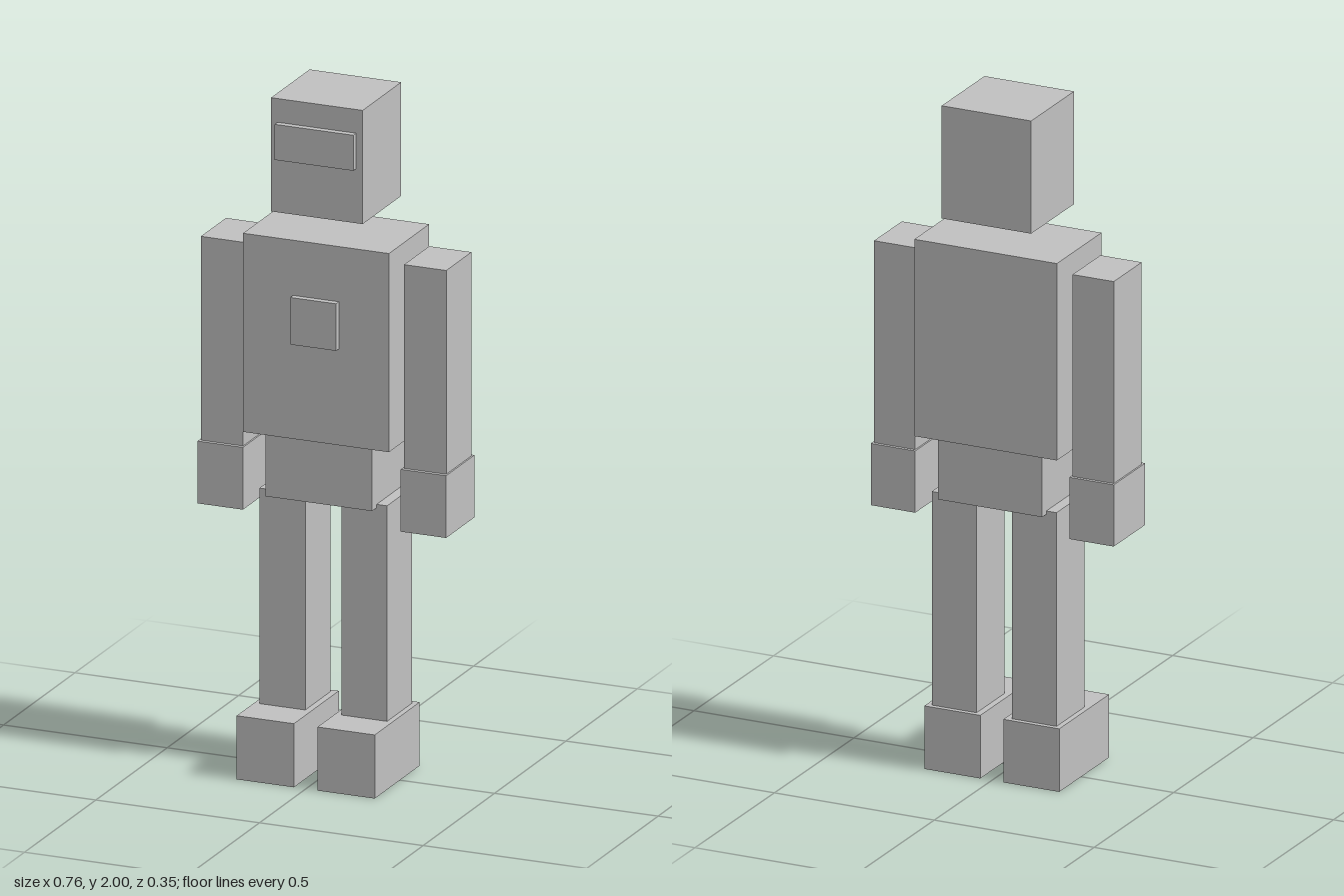
import * as THREE from 'three';

const grey = new THREE.MeshStandardMaterial({ color: 0xc0c0c0 });
grey.name = 'plain grey';

// Box given by its [min, max] extent on each axis
function block(name, [x0, x1], [y0, y1], [z0, z1]) {
  const mesh = new THREE.Mesh(new THREE.BoxGeometry(x1 - x0, y1 - y0, z1 - z0), grey);
  mesh.position.set((x0 + x1) / 2, (y0 + y1) / 2, (z0 + z1) / 2);
  mesh.name = name;
  return mesh;
}

export function createModel() {
  const model = new THREE.Group();
  model.name = 'blockRobot';

  // Central parts
  model.add(
    block('head', [-0.14, 0.14], [1.664, 2], [-0.172, 0.098]),
    block('visor', [-0.12, 0.12], [1.825, 1.93], [0.09, 0.118]),
    block('torso', [-0.223, 0.223], [1.003, 1.59], [-0.177, 0.104]),
    block('chestPlate', [-0.07, 0.07], [1.288, 1.427], [0.095, 0.124]),
    block('pelvis', [-0.163, 0.163], [0.815, 1.003], [-0.149, 0.085]),
  );

  // Limbs: name, inner and outer x, y range, z range
  const limbs = [
    ['Arm', 0.246, 0.375, [0.942, 1.544], [-0.125, 0.051]],
    ['Hand', 0.241, 0.38, [0.758, 0.942], [-0.135, 0.063]],
    ['Leg', 0.055, 0.195, [0.188, 0.825], [-0.123, 0.053]],
    ['Foot', 0.036, 0.211, [0, 0.188], [-0.138, 0.176]],
  ];
  for (const [name, inner, outer, y, z] of limbs) {
    model.add(block('left' + name, [inner, outer], y, z));
    model.add(block('right' + name, [-outer, -inner], y, z));
  }
  return model;
}
